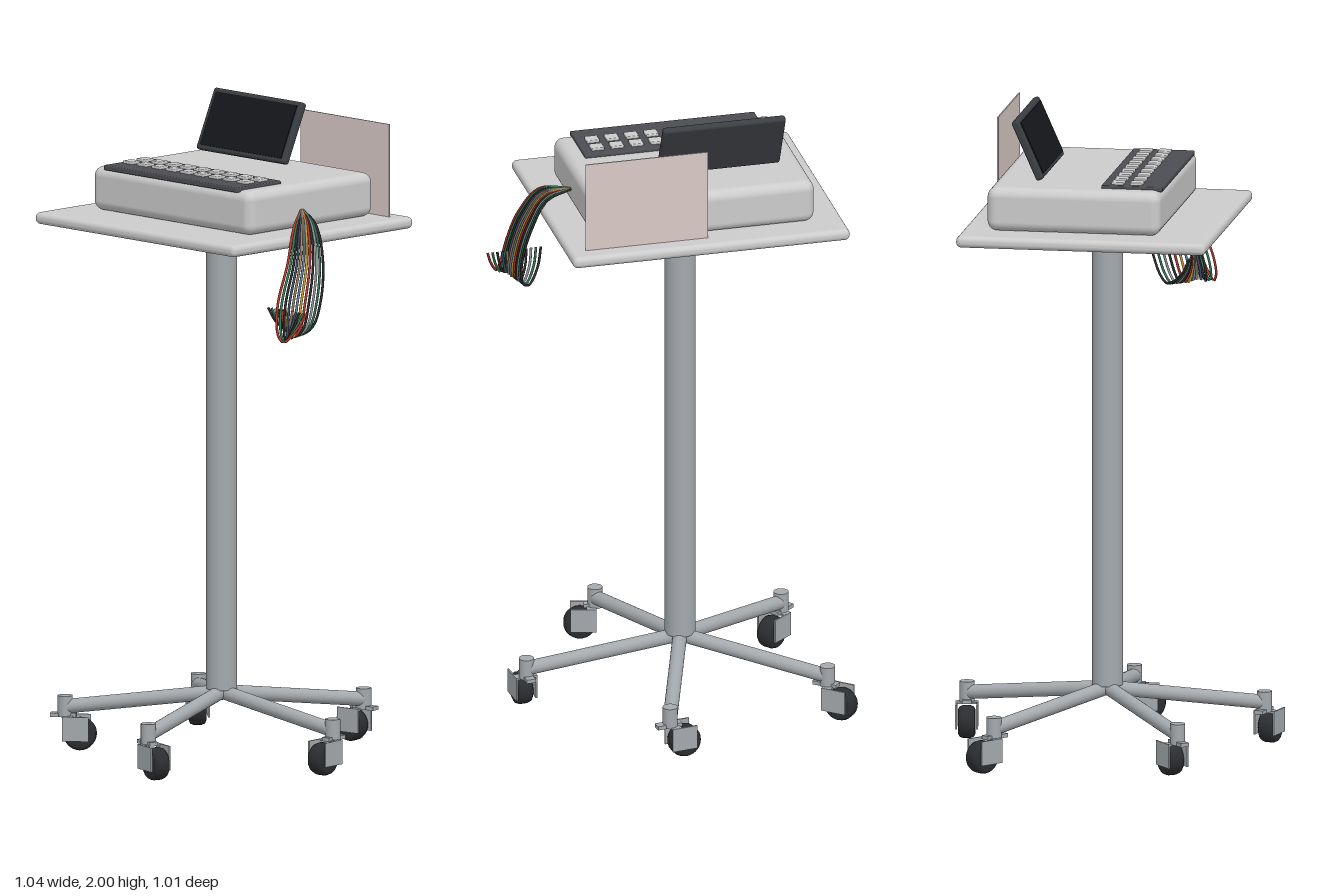
import * as THREE from 'three';
import { RoundedBoxGeometry } from 'three/addons/geometries/RoundedBoxGeometry.js';

const CX = -0.055; // x of the column

const material = (color) => new THREE.MeshStandardMaterial({ color });
const grey = material(0xcccccc);
const steel = material(0xa4a9ad);
const rubber = material(0x2b2d30);

function add(parent, name, geometry, mat, x = 0, y = 0, z = 0) {
  const mesh = new THREE.Mesh(geometry, mat);
  mesh.name = name;
  mesh.position.set(x, y, z);
  parent.add(mesh);
  return mesh;
}

// Round bar between two points
function bar(parent, name, a, b, radius, mat) {
  const dir = b.clone().sub(a);
  const mesh = add(parent, name, new THREE.CylinderGeometry(radius, radius, dir.length(), 24), mat);
  mesh.position.copy(a).add(b).multiplyScalar(0.5);
  mesh.quaternion.setFromUnitVectors(new THREE.Vector3(0, 1, 0), dir.normalize());
  return mesh;
}

// Swivel caster; its wheel trails towards local +x
function caster() {
  const group = new THREE.Group();
  group.name = 'caster';
  add(group, 'casterStem', new THREE.CylinderGeometry(0.023, 0.023, 0.065, 20), steel, 0, 0.135);
  add(group, 'casterCrown', new THREE.BoxGeometry(0.08, 0.012, 0.028), steel, -0.005, 0.108);
  const profile = [[0, -0.026], [0.038, -0.026], [0.046, -0.022], [0.05, -0.012],
    [0.05, 0.012], [0.046, 0.022], [0.038, 0.026], [0, 0.026]].map(([r, y]) => new THREE.Vector2(r, y));
  const wheel = add(group, 'casterWheel', new THREE.LatheGeometry(profile, 28), rubber, 0.046, 0.05);
  wheel.rotation.x = Math.PI / 2;
  for (const side of [-1, 1]) {
    add(group, 'casterFork', new THREE.BoxGeometry(0.08, 0.075, 0.005), steel, 0.035, 0.068, side * 0.032);
  }
  add(group, 'casterForkBridge', new THREE.BoxGeometry(0.03, 0.006, 0.064), steel, 0.01, 0.103);
  return group;
}

// Star base with five arms and casters
function base() {
  const group = new THREE.Group();
  group.name = 'starBase';
  group.position.x = CX;
  const trail = [[0.1, 1], [1, 0.25], [1, -0.8], [-0.75, -0.65], [-1, 0.15]];
  trail.forEach(([dx, dz], i) => {
    const a = i * Math.PI * 2 / 5;
    const x = Math.cos(a) * 0.483, z = Math.sin(a) * 0.483;
    bar(group, 'baseArm', new THREE.Vector3(0, 0.193, 0), new THREE.Vector3(x, 0.133, z), 0.022, steel);
    const c = caster();
    c.position.set(x, 0, z);
    c.rotation.y = Math.atan2(-dz, dx);
    group.add(c);
  });
  add(group, 'baseHub', new THREE.SphereGeometry(0.026, 20, 14), steel, 0, 0.193);
  return group;
}

// Console body with keyboard
function consoleUnit() {
  const group = new THREE.Group();
  group.name = 'console';
  add(group, 'consoleBody', new RoundedBoxGeometry(0.69, 0.135, 0.535, 5, 0.03), grey, CX, 1.733, -0.048);
  add(group, 'keyPanel', new RoundedBoxGeometry(0.58, 0.016, 0.19, 2, 0.004), material(0x4c4d52), CX, 1.802, 0.125);
  const keyGeometry = new RoundedBoxGeometry(0.04, 0.012, 0.038, 2, 0.003);
  for (const z of [0.077, 0.135]) {
    for (let i = 0; i < 9; i++) add(group, 'key', keyGeometry, grey, CX - 0.254 + i * 0.062, 1.812, z);
  }
  return group;
}

// Tilted display
function display() {
  const group = new THREE.Group();
  group.name = 'display';
  group.position.set(-0.132, 1.905, -0.202);
  group.rotation.x = -0.42;
  add(group, 'displayFrame', new RoundedBoxGeometry(0.385, 0.197, 0.024, 3, 0.008), material(0x3b3e42));
  add(group, 'displayScreen', new THREE.BoxGeometry(0.353, 0.17, 0.005), material(0x15171a), 0, 0, 0.0125);
  return group;
}

// Bundle of leads fanning out from the console side and hooking up at the ends
function leads() {
  const group = new THREE.Group();
  group.name = 'leads';
  const colors = [0x2a2a2a, 0x2f6b4f, 0x8a8f94, 0x2a2a2a, 0xb03a2e, 0xc9982f,
    0x5b7f99, 0x9a7a5a, 0x3c4a66, 0x2a2a2a, 0x2f7a55, 0xb0322a];
  colors.forEach((color, i) => {
    const t = i / (colors.length - 1);
    const path = new THREE.CatmullRomCurve3([
      [0.283, 1.724, -0.01],
      [0.36, 1.685, 0.005 + 0.095 * t],
      [0.405, 1.59, 0.02 + 0.15 * t],
      [0.428, 1.47, 0.05 + 0.185 * t],
      [0.42 + 0.025 * t, 1.385, 0.08 + 0.17 * t],
      [0.39 + 0.068 * t, 1.362, 0.11 + 0.13 * t],
      [0.35 + 0.135 * t, 1.4, 0.16 + 0.05 * t],
      [0.335 + 0.168 * t, 1.45, 0.185],
    ].map((p) => new THREE.Vector3(...p)));
    add(group, 'lead', new THREE.TubeGeometry(path, 48, 0.004, 8), material(color));
  });
  return group;
}

export function createModel() {
  const model = new THREE.Group();
  model.name = 'consoleTrolley';
  model.add(base());
  add(model, 'column', new THREE.CylinderGeometry(0.047, 0.047, 1.435, 40), steel, CX, 0.92, 0);
  add(model, 'tray', new RoundedBoxGeometry(0.87, 0.036, 0.77, 4, 0.016), grey, CX, 1.647, -0.01);
  model.add(consoleUnit(), display(), leads());
  add(model, 'backPanel', new THREE.BoxGeometry(0.385, 0.29, 0.004), material(0xd9cac6), 0.137, 1.806, -0.339);
  return model;
}
